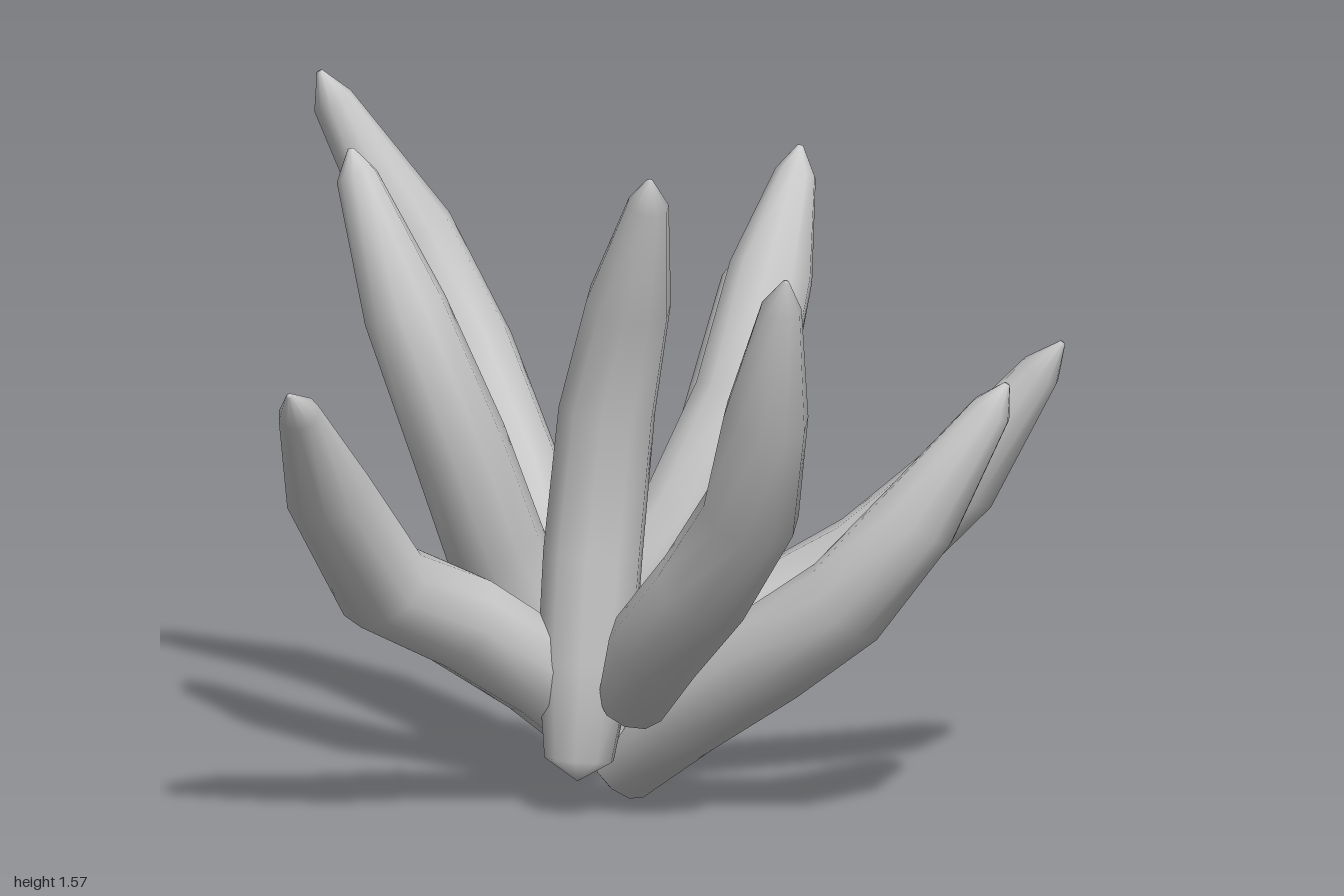
import * as THREE from 'three';

const SIDES = 10;
const material = new THREE.MeshStandardMaterial({ color: 0xcccccc });

// Centre line of each arm from root to tip: x, y, z
const ARMS = {
  leftHighArm: [[-0.13, 0.29, -0.03], [-0.04, 0.41, -0.03], [0.13, 0.64, -0.02], [0.26, 0.9, -0.05], [0.345, 1.17, -0.14], [0.415, 1.38, -0.21], [0.43, 1.44, -0.23]],
  leftOuterArm: [[-0.06, 0.18, -0.14], [0.12, 0.27, -0.1], [0.34, 0.4, -0.05], [0.54, 0.53, 0.02], [0.73, 0.74, 0.14], [0.89, 1.0, 0.25], [0.935, 1.07, 0.28]],
  leftFrontArm: [[-0.03, 0.06, 0.0], [0.09, 0.22, 0.12], [0.25, 0.38, 0.31], [0.4, 0.53, 0.46], [0.55, 0.74, 0.555], [0.71, 0.99, 0.595], [0.745, 1.05, 0.6]],
  frontArm: [[-0.05, 0.27, 0.24], [-0.02, 0.42, 0.36], [0.06, 0.59, 0.53], [0.135, 0.8, 0.7], [0.14, 1.05, 0.85], [0.155, 1.32, 0.95], [0.16, 1.39, 0.985]],
  frontHighArm: [[-0.16, 0.13, 0.18], [-0.14, 0.35, 0.16], [-0.12, 0.6, 0.14], [-0.09, 0.93, 0.15], [-0.06, 1.2, 0.255], [-0.04, 1.45, 0.38], [-0.04, 1.51, 0.4]],
  rightFrontArm: [[-0.09, 0.16, 0.06], [-0.23, 0.32, 0.11], [-0.43, 0.46, 0.17], [-0.63, 0.57, 0.27], [-0.79, 0.83, 0.43], [-0.89, 1.05, 0.61], [-0.92, 1.1, 0.65]],
  rightHighArm: [[-0.12, 0.19, -0.1], [-0.21, 0.37, -0.13], [-0.3, 0.58, -0.11], [-0.4, 0.83, -0.01], [-0.52, 1.14, -0.03], [-0.61, 1.43, -0.14], [-0.62, 1.49, -0.16]],
  rightBackArm: [[-0.13, 0.27, -0.15], [-0.15, 0.42, -0.22], [-0.2, 0.66, -0.37], [-0.28, 0.93, -0.54], [-0.39, 1.19, -0.615], [-0.57, 1.5, -0.63], [-0.6, 1.57, -0.63]],
  backArm: [[-0.05, 0.18, -0.1], [0.04, 0.36, -0.2], [0.145, 0.51, -0.28], [0.265, 0.65, -0.395], [0.36, 0.81, -0.635], [0.435, 0.98, -0.94], [0.45, 1.02, -0.99]],
};
const RADII = [0.08, 0.112, 0.115, 0.112, 0.098, 0.048, 0.007];

// Fleshy arm: round rings along the path, closed by a short cone at each end
function armGeometry(path) {
  const pts = path.map((p) => new THREE.Vector3(...p));
  const last = pts.length - 1;
  const up = new THREE.Vector3(0, 1, 0);
  const verts = [], index = [];
  pts.forEach((p, i) => {
    const dir = pts[Math.min(i + 1, last)].clone().sub(pts[Math.max(i - 1, 0)]).normalize();
    const q = new THREE.Quaternion().setFromUnitVectors(up, dir);
    for (let s = 0; s < SIDES; s++) {
      const a = (s / SIDES) * Math.PI * 2;
      const v = new THREE.Vector3(Math.cos(a), 0, Math.sin(a)).multiplyScalar(RADII[i]);
      verts.push(...v.applyQuaternion(q).add(p).toArray());
    }
  });
  const root = verts.length / 3, tip = root + 1;
  const rootDir = pts[0].clone().sub(pts[1]).normalize();
  verts.push(...pts[0].clone().addScaledVector(rootDir, 0.05).toArray(), ...path[last]);
  for (let s = 0; s < SIDES; s++) {
    const n = (s + 1) % SIDES;
    for (let i = 0; i < last; i++) {
      const a = i * SIDES + s, b = i * SIDES + n;
      index.push(a, a + SIDES, b, b, a + SIDES, b + SIDES);
    }
    index.push(root, s, n, tip, last * SIDES + n, last * SIDES + s);
  }
  const geo = new THREE.BufferGeometry();
  geo.setAttribute('position', new THREE.Float32BufferAttribute(verts, 3));
  geo.setIndex(index);
  geo.computeVertexNormals();
  return geo;
}

export function createModel() {
  const group = new THREE.Group();
  group.name = 'armCluster';
  for (const [name, path] of Object.entries(ARMS)) {
    const mesh = new THREE.Mesh(armGeometry(path), material);
    mesh.name = name;
    group.add(mesh);
  }
  return group;
}
